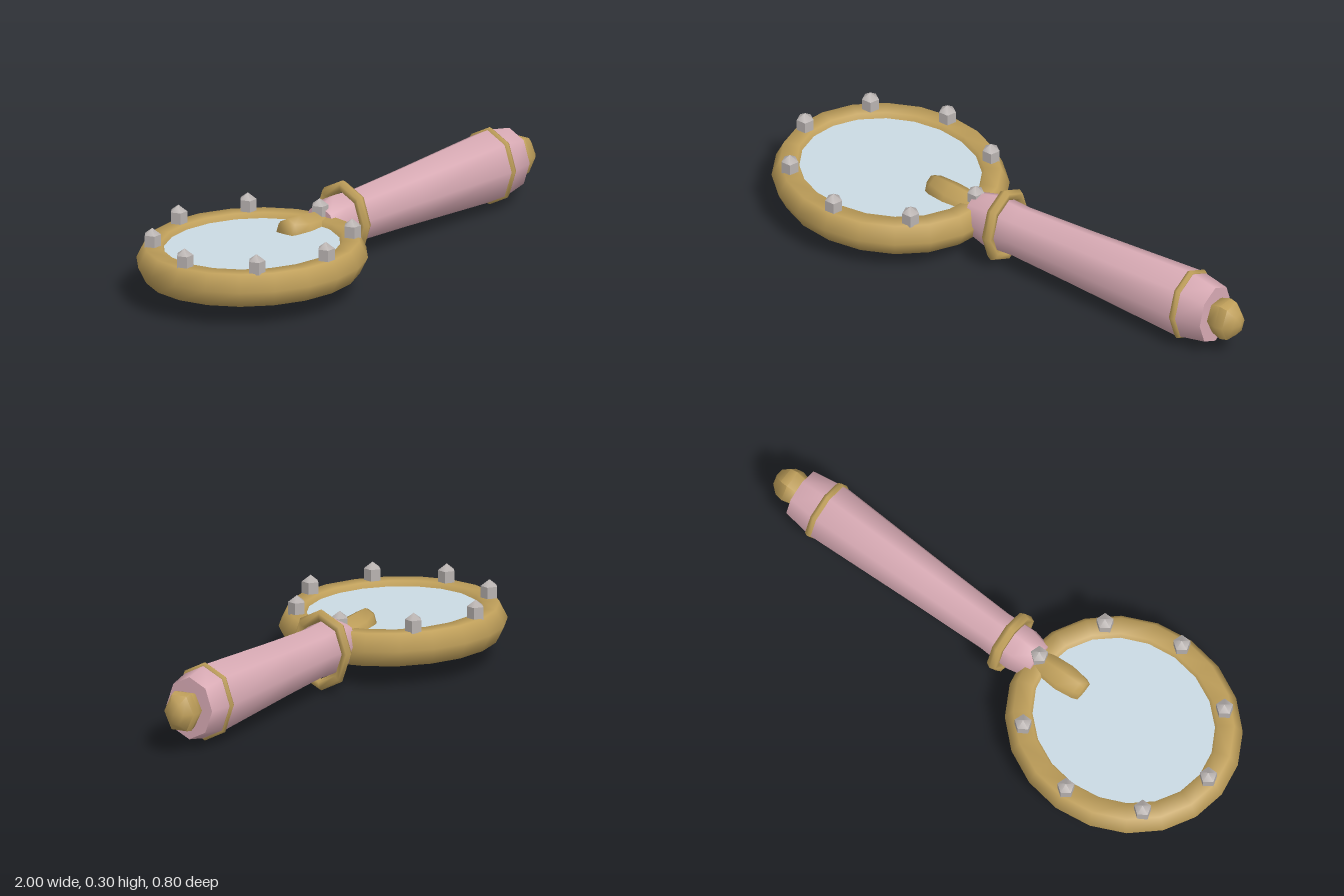
import * as THREE from 'three';
import { toCreasedNormals } from 'three/addons/utils/BufferGeometryUtils.js';

const mat = (name, color) => {
  const m = new THREE.MeshStandardMaterial({ color });
  m.name = name;
  return m;
};

export function createModel() {
  const gold = mat('gold', 0xbf9f5a);
  const pink = mat('pink', 0xd9abb5);
  const glass = mat('glass', 0xcadae3);
  const silver = mat('silver', 0xb8b2b0);

  const model = new THREE.Group();
  model.name = 'magnifyingGlass';
  const add = (name, geometry, material, x, y, z = 0) => {
    const mesh = new THREE.Mesh(geometry, material);
    mesh.name = name;
    mesh.position.set(x, y, z);
    model.add(mesh);
    return mesh;
  };

  const AXIS = 0.152; // height of the handle axis
  const FLAT = 0.82; // handle is narrower in z than in y
  const ringX = -0.56, ringY = 0.14;

  // Turned shape along x; profile points are [x, radius]
  const turned = (points, sides, zScale = FLAT) => {
    const g = new THREE.LatheGeometry(points.map(([x, r]) => new THREE.Vector2(r, x)), sides);
    g.rotateZ(-Math.PI / 2);
    g.scale(1, 1, zScale);
    return toCreasedNormals(g, 1.1);
  };

  // Oval frame with a six-sided section, smooth all round
  const ring = new THREE.TorusGeometry(0.36, 0.07, 6, 20);
  const p = ring.attributes.position;
  for (let i = 0; i <= 6; i++) {
    for (let j = 0; j <= 20; j++) {
      const a = (j / 20) * Math.PI * 2, b = (i / 6) * Math.PI * 2;
      const out = 0.06 * Math.cos(b);
      p.setXYZ(i * 21 + j, (0.38 + out) * Math.cos(a), (0.34 + out) * Math.sin(a), 0.07 * Math.sin(b));
    }
  }
  ring.rotateX(-Math.PI / 2);
  add('frame', ring, gold, ringX, ringY);

  // Thick lens, nearly flush with both faces of the frame
  const lens = new THREE.CylinderGeometry(1, 1, 0.084, 20);
  lens.rotateY(Math.PI / 2);
  lens.scale(0.36, 1, 0.32);
  add('lens', lens, glass, ringX, ringY);

  // Five-sided studs with pointed caps around the frame
  const shaft = toCreasedNormals(new THREE.CylinderGeometry(0.032, 0.032, 0.047, 5, 1, true), 0.2);
  const cap = new THREE.ConeGeometry(0.032, 0.024, 5, 1, true);
  for (const g of [shaft, cap]) g.rotateY(Math.PI);
  for (let i = 0; i < 8; i++) {
    const a = (i / 8) * Math.PI * 2;
    const x = ringX + 0.38 * Math.cos(a), z = 0.342 * Math.sin(a);
    add('stud', shaft, silver, x, 0.2195, z);
    add('studCap', cap, silver, x, 0.255, z);
  }

  // Handle grip
  add('handle', turned([
    [-0.18, 0], [-0.18, 0.085], [-0.1, 0.107], [0.02, 0.1], [0.3, 0.112],
    [0.77, 0.137], [0.886, 0.115], [0.887, 0],
  ], 8), pink, 0, AXIS);

  // Collars around the grip
  for (const [x, radius, tube] of [[-0.05, 0.128, 0.022], [0.775, 0.131, 0.014]]) {
    const collar = new THREE.TorusGeometry(radius, tube, 6, 8);
    collar.rotateY(Math.PI / 2);
    collar.scale(1, 1, FLAT);
    add('collar', collar, gold, x, AXIS);
  }

  // Pommel
  add('pommel', turned([
    [0.87, 0.05], [0.895, 0.07], [0.93, 0.081], [0.96, 0.074], [0.99, 0.042], [1, 0],
  ], 6), gold, 0, AXIS);

  // Blunt prong reaching from the handle over the lens, tip raised
  const prong = turned([
    [-0.382, 0], [-0.38, 0.046], [-0.36, 0.06], [-0.29, 0.083], [-0.22, 0.076], [-0.14, 0.06],
  ], 8, 0.79);
  const q = prong.attributes.position;
  for (let i = 0; i < q.count; i++) {
    const lift = Math.max(0, (-0.29 - q.getX(i)) / 0.09);
    q.setY(i, q.getY(i) + 0.035 * lift);
  }
  add('prong', prong, gold, 0, 0.148);

  return model;
}
